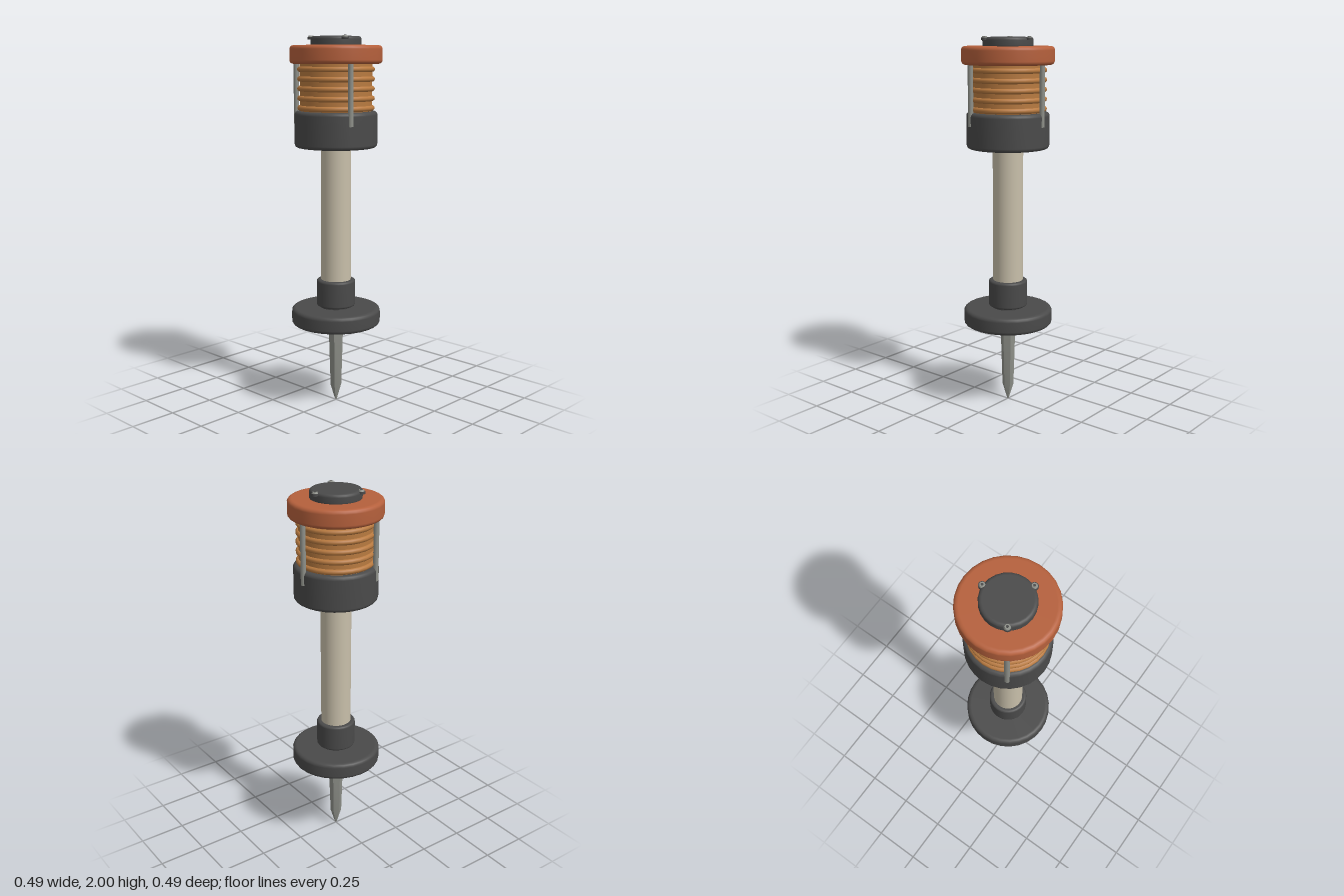
import * as THREE from 'three';
import { toCreasedNormals } from 'three/addons/utils/BufferGeometryUtils.js';

const mat = (name, color) => {
  const m = new THREE.MeshStandardMaterial({ color });
  m.name = name;
  return m;
};

export function createModel() {
  const dark = mat('dark plastic', 0x4a4a4a);
  const orange = mat('burnt orange', 0xb5603c);
  const copper = mat('copper', 0xb87a40);
  const cream = mat('cream pole', 0xc8bfaa);
  const steel = mat('steel', 0x8f918a);

  const root = new THREE.Group();
  const add = (name, geometry, material, parent = root) => {
    const mesh = new THREE.Mesh(geometry, material);
    mesh.name = name;
    parent.add(mesh);
    return mesh;
  };

  // Solid round part from y0 to y1 with rounded rims
  const roundPart = (name, r, y0, y1, bevel, material, sides = 28) => {
    const pts = [[0, y0], [r - bevel * 1.2, y0]];
    const steps = 4;
    for (let i = 0; i <= steps; i++) {
      const a = (i / steps) * Math.PI / 2;
      pts.push([r - bevel + Math.sin(a) * bevel, y0 + bevel - Math.cos(a) * bevel]);
    }
    for (let i = 0; i <= steps; i++) {
      const a = (i / steps) * Math.PI / 2;
      pts.push([r - bevel + Math.cos(a) * bevel, y1 - bevel + Math.sin(a) * bevel]);
    }
    pts.push([r - bevel * 1.2, y1], [0, y1]);
    return add(name, new THREE.LatheGeometry(pts.map(p => new THREE.Vector2(...p)), sides), material);
  };

  // Hexagonal ground spike
  const spike = new THREE.LatheGeometry(
    [[0, 0.005], [0.005, 0.01], [0.031, 0.095], [0.042, 0.46], [0, 0.46]].map(p => new THREE.Vector2(...p)), 6);
  spike.rotateY(Math.PI / 2);
  add('groundSpike', toCreasedNormals(spike, 0.3), steel);

  // Base and pole
  roundPart('groundFlange', 0.241, 0.455, 0.547, 0.02, dark);
  roundPart('flangeNeck', 0.085, 0.53, 0.57, 0.004, dark);
  roundPart('poleCollar', 0.105, 0.555, 0.702, 0.012, dark);
  add('pole', new THREE.CylinderGeometry(0.081, 0.081, 0.86, 28, 1, true).translate(0, 1.03, 0), cream);

  // Head
  roundPart('lowerHousing', 0.219, 1.42, 1.612, 0.02, dark);
  add('coilCore', new THREE.CylinderGeometry(0.19, 0.19, 0.27, 28, 1, true).translate(0, 1.73, 0), copper);
  for (let i = 0; i < 5; i++) {
    const ring = new THREE.TorusGeometry(0.19, 0.014, 10, 28).rotateX(Math.PI / 2);
    add('coilRing', ring, copper).position.y = 1.628 + i * 0.05;
  }
  roundPart('topCap', 0.243, 1.855, 1.95, 0.02, orange);
  roundPart('lidDisc', 0.133, 1.94, 1.996, 0.015, dark, 24);

  // Three struts, each in line with a lid screw
  for (let i = 0; i < 3; i++) {
    const side = new THREE.Group();
    side.name = 'strutAndScrew';
    side.rotation.y = 0.445 * -1 + (i * Math.PI * 2) / 3;
    root.add(side);
    add('strut', new THREE.CylinderGeometry(0.014, 0.014, 0.325, 10).translate(0.212, 1.704, 0), steel, side);
    add('screwWasher', new THREE.CylinderGeometry(0.019, 0.019, 0.012, 16).translate(0.132, 1.986, 0), dark, side);
    add('screwHead', new THREE.CylinderGeometry(0.012, 0.016, 0.008, 16).translate(0.132, 1.995, 0), steel, side);
    add('screwSocket', new THREE.CylinderGeometry(0.007, 0.007, 0.004, 6).translate(0.132, 1.998, 0), dark, side);
  }
  return root;
}
